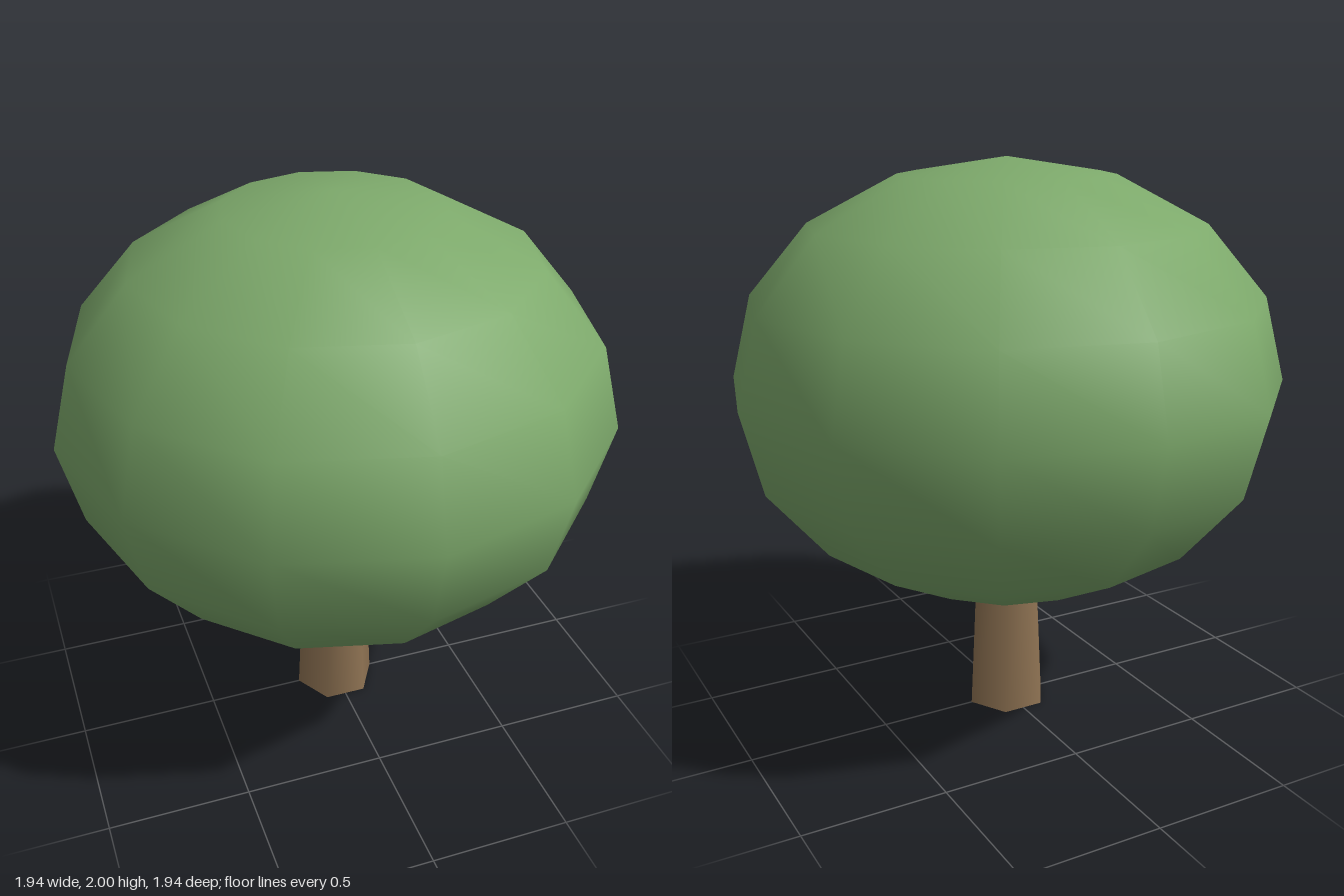
import * as THREE from 'three';

function addPart(group, name, geometry, color, y) {
  const mesh = new THREE.Mesh(geometry, new THREE.MeshStandardMaterial({ color }));
  mesh.name = name;
  mesh.position.y = y;
  group.add(mesh);
  return mesh;
}

export function createModel() {
  const tree = new THREE.Group();
  tree.name = 'tree';

  // Tapered six-sided trunk, corners on the x axis, reaching into the crown
  const trunkHeight = 0.62;
  const trunk = new THREE.CylinderGeometry(0.12, 0.15, trunkHeight, 6);
  trunk.rotateY(Math.PI / 2);
  addPart(tree, 'trunk', trunk, 0x8f7353, trunkHeight / 2);

  // Smooth-shaded, slightly flattened low-poly crown
  const crown = new THREE.SphereGeometry(1, 12, 8);
  crown.scale(0.97, 0.765, 0.97);
  addPart(tree, 'crown', crown, 0x7da96b, 1.235);

  return tree;
}
